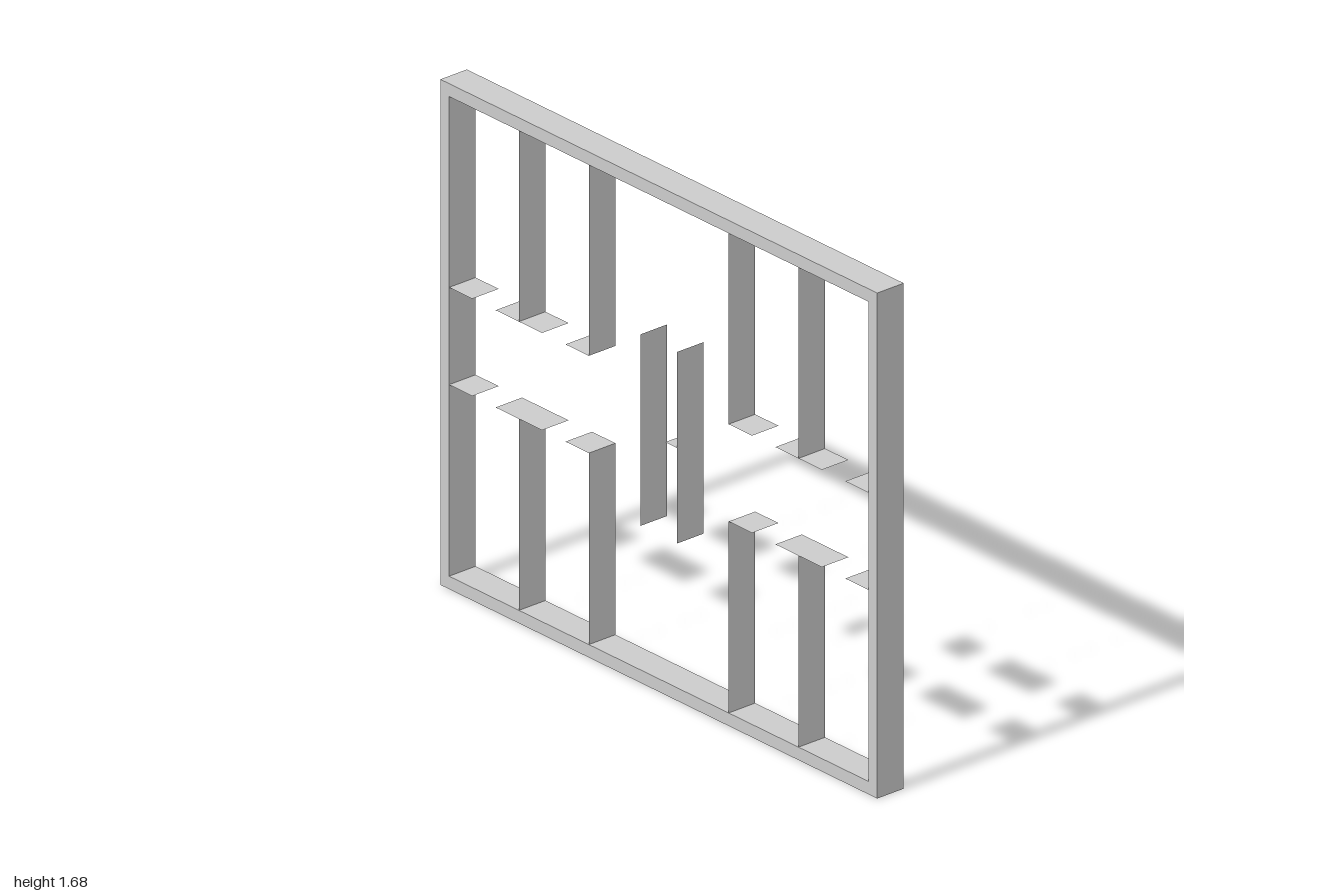
import * as THREE from 'three';

const DEPTH = 0.106;
const BOTTOM = 0.043, TOP = 1.641, HEIGHT = 1.684;
const MID = HEIGHT / 2;
const INNER = 0.96;

export function createModel() {
  const model = new THREE.Group();
  const solid = new THREE.MeshStandardMaterial({ color: 0xcccccc, flatShading: true });
  const thin = new THREE.MeshStandardMaterial({ color: 0xcccccc, flatShading: true, side: THREE.DoubleSide });

  const rect = (path, x, y0, y1) =>
    path.moveTo(-x, y0).lineTo(x, y0).lineTo(x, y1).lineTo(-x, y1).closePath();

  // Thin upright sheet spanning the depth of the frame
  function upright(name, x, y0, y1) {
    const mesh = new THREE.Mesh(new THREE.PlaneGeometry(DEPTH, y1 - y0), thin);
    mesh.rotation.y = Math.PI / 2;
    mesh.position.set(x, (y0 + y1) / 2, 0);
    mesh.name = name;
    model.add(mesh);
  }

  // Thin level sheet spanning the depth of the frame
  function level(name, x0, x1, y) {
    const mesh = new THREE.Mesh(new THREE.PlaneGeometry(Math.abs(x1 - x0), DEPTH), thin);
    mesh.rotation.x = -Math.PI / 2;
    mesh.position.set((x0 + x1) / 2, y, 0);
    mesh.name = name;
    model.add(mesh);
  }

  // Outer rectangular frame
  const outline = rect(new THREE.Shape(), 1, 0, HEIGHT);
  outline.holes.push(rect(new THREE.Path(), INNER, BOTTOM, TOP));
  const frameGeometry = new THREE.ExtrudeGeometry(outline, { depth: DEPTH, bevelEnabled: false });
  frameGeometry.translate(0, 0, -DEPTH / 2);
  const frame = new THREE.Mesh(frameGeometry, solid);
  frame.name = 'frame';
  model.add(frame);

  // Compartments in the four corners: two dividers and three ledges each
  for (const side of [-1, 1]) {
    const sideName = side > 0 ? 'Left' : 'Right';
    for (const [row, y, edge] of [['lower', 0.681, BOTTOM], ['upper', 1.005, TOP]]) {
      const corner = row + sideName;
      for (const x of [0.32, 0.64])
        upright(corner + 'Divider', side * x, Math.min(y, edge), Math.max(y, edge));
      for (const [x0, x1] of [[0.32, 0.427], [0.534, 0.747], [0.854, INNER]])
        level(corner + 'Ledge', side * x0, side * x1, y);
    }
    // Free-standing pair of panels in the middle
    upright('centre' + sideName + 'Panel', side * 0.083, MID - 0.319, MID + 0.319);
  }

  // Small tab on one middle panel
  level('centreTab', 0.03, 0.083, MID);

  return model;
}
